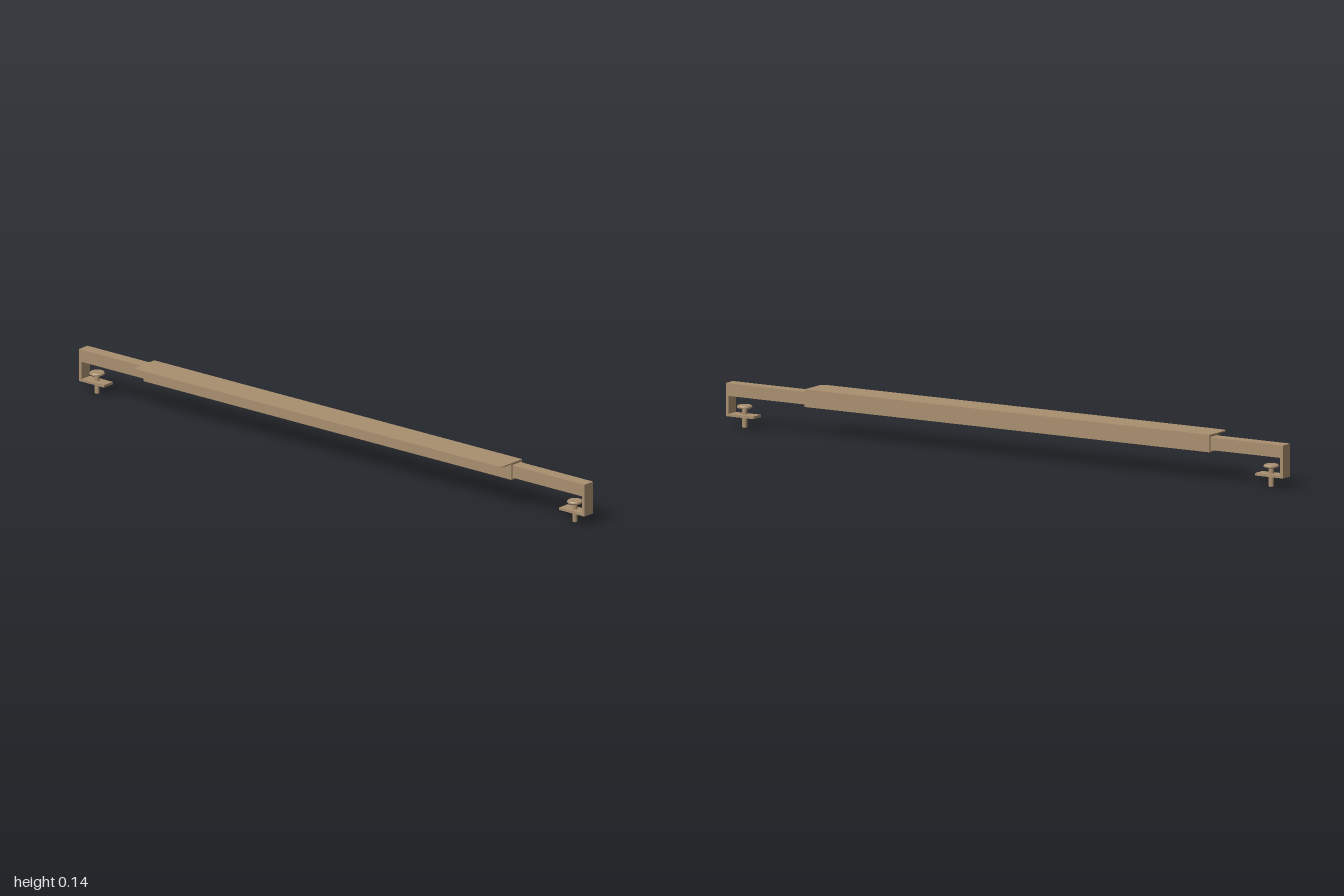
import * as THREE from 'three';

const material = new THREE.MeshStandardMaterial({ color: 0xa98f6f });
const BACK = -0.74, FRONT = 0.715, LENGTH = FRONT - BACK;
const BAR_X = 0.0245, BAR_W = 0.041;

function add(parent, name, geometry, x = 0, y = 0, z = 0) {
  const mesh = new THREE.Mesh(geometry, material);
  mesh.name = name;
  mesh.position.set(x, y, z);
  parent.add(mesh);
  return mesh;
}

function rectangle(path, x0, y0, x1, y1) {
  path.moveTo(x0, y0);
  path.lineTo(x1, y0);
  path.lineTo(x1, y1);
  path.lineTo(x0, y1);
  path.closePath();
  return path;
}

// Clamp at the front end; the back one is the same, turned half round
function createClamp() {
  const clamp = new THREE.Group();
  add(clamp, 'endPlate', new THREE.BoxGeometry(BAR_W, 0.102, 0.01), 0, 0.084, 0.995);
  add(clamp, 'clampJaw', new THREE.BoxGeometry(BAR_W, 0.008, 0.09), 0, 0.037, 0.945);

  // Screw with a chamfered tip and a round pressure pad
  const screw = [[0, 0], [0.0065, 0], [0.0078, 0.002], [0.0078, 0.061], [0, 0.061]];
  const pad = [[0, 0.06], [0.02, 0.06], [0.0235, 0.062], [0.0235, 0.066], [0.021, 0.069], [0, 0.069]];
  for (const [name, profile] of [['clampScrew', screw], ['pressurePad', pad]]) {
    const geometry = new THREE.LatheGeometry(profile.map(([r, y]) => new THREE.Vector2(r, y)), 32);
    const flat = geometry.toNonIndexed();
    flat.computeVertexNormals();
    add(clamp, name, flat, 0, 0, 0.945);
  }
  return clamp;
}

export function createModel() {
  const model = new THREE.Group();
  model.name = 'extendingBar';

  // Inner bar running through the sleeve
  add(model, 'innerBar', new THREE.BoxGeometry(BAR_W, 0.039, 1.98), BAR_X, 0.1155, 0);

  // Hollow square sleeve
  const section = rectangle(new THREE.Shape(), 0, 0.0895, 0.05, 0.14);
  section.holes.push(rectangle(new THREE.Path(), 0.0035, 0.093, 0.0465, 0.1365));
  add(model, 'sleeve', new THREE.ExtrudeGeometry(section, { depth: LENGTH, bevelEnabled: false }), 0, 0, BACK);

  // Flat shelf on the sleeve, rounded at its two free corners
  const r = 0.018, left = -0.051, right = 0.05;
  const outline = new THREE.Shape();
  outline.moveTo(right, -FRONT);
  outline.lineTo(right, -BACK);
  outline.lineTo(left + r, -BACK);
  outline.absarc(left + r, -BACK - r, r, Math.PI / 2, Math.PI, false);
  outline.lineTo(left, -FRONT + r);
  outline.absarc(left + r, -FRONT + r, r, Math.PI, Math.PI * 1.5, false);
  outline.closePath();
  const shelf = new THREE.ExtrudeGeometry(outline, { depth: 0.0035, bevelEnabled: false, curveSegments: 10 });
  shelf.rotateX(-Math.PI / 2);
  add(model, 'topPlate', shelf, 0, 0.14, 0);

  // Clamps at both ends
  for (const [name, turn] of [['frontClamp', 0], ['backClamp', Math.PI]]) {
    const clamp = createClamp();
    clamp.name = name;
    clamp.position.x = BAR_X;
    clamp.rotation.y = turn;
    model.add(clamp);
  }
  return model;
}
